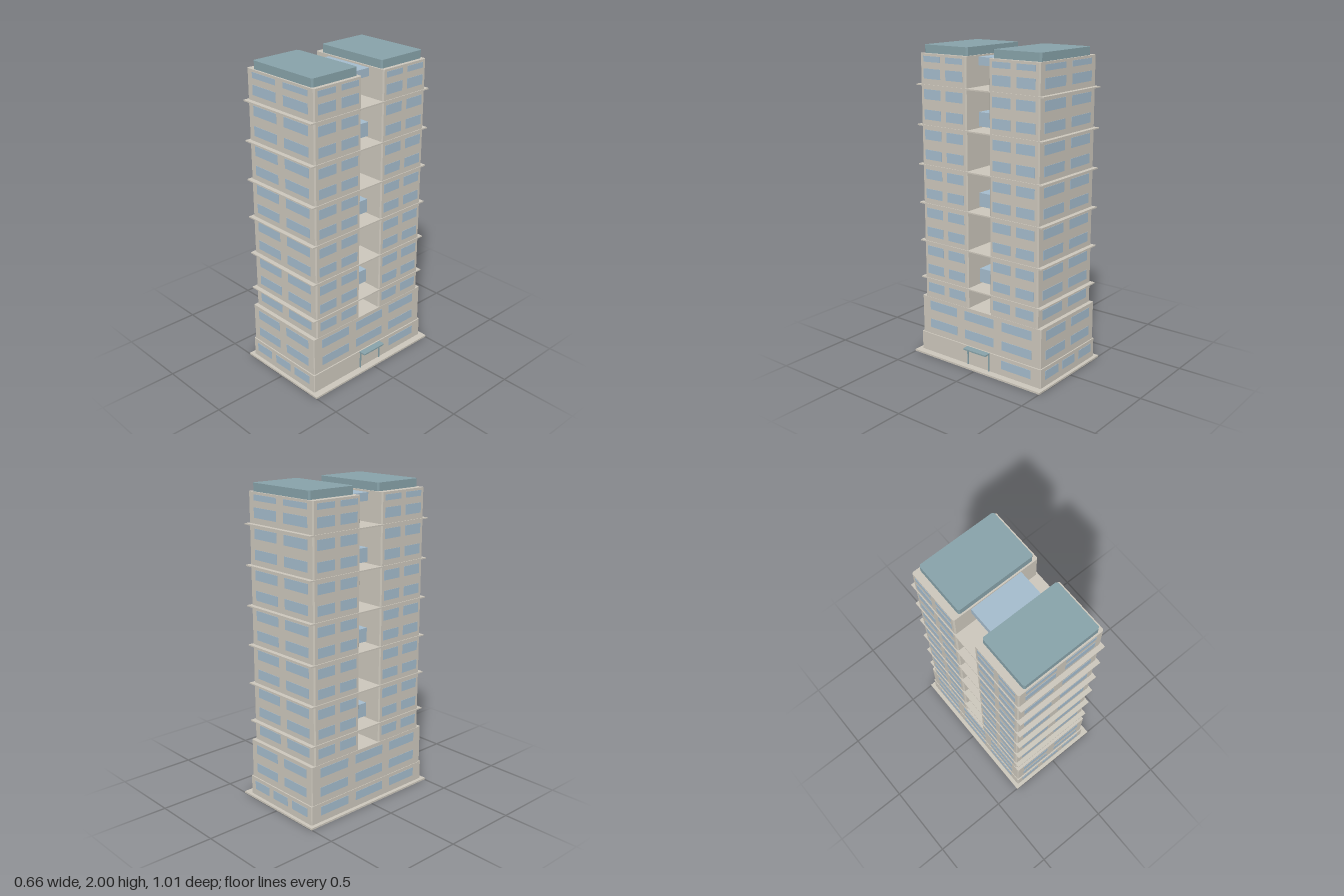
import * as THREE from 'three';

const mat = (name, color) => {
  const m = new THREE.MeshStandardMaterial({ color });
  m.name = name;
  return m;
};

export function createModel() {
  const wall = mat('stone wall', 0xcac5ba);
  const glass = mat('window glass', 0xa3bacb);
  const metal = mat('roof metal', 0x86a1a8);
  const model = new THREE.Group();

  // Box given by its extents on each axis
  const box = (parent, name, m, x0, x1, y0, y1, z0, z1) => {
    const mesh = new THREE.Mesh(new THREE.BoxGeometry(x1 - x0, y1 - y0, z1 - z0), m);
    mesh.position.set((x0 + x1) / 2, (y0 + y1) / 2, (z0 + z1) / 2);
    mesh.name = name;
    parent.add(mesh);
  };

  // Upright block with small chamfered corners
  const block = (parent, name, m, x0, x1, y0, y1, z0, z1, c) => {
    const s = new THREE.Shape([
      [x0 + c, -z1], [x1 - c, -z1], [x1, -z1 + c], [x1, -z0 - c],
      [x1 - c, -z0], [x0 + c, -z0], [x0, -z0 - c], [x0, -z1 + c],
    ].map(([x, y]) => new THREE.Vector2(x, y)));
    const g = new THREE.ExtrudeGeometry(s, { depth: y1 - y0, bevelEnabled: false });
    g.rotateX(-Math.PI / 2).translate(0, y0, 0);
    const mesh = new THREE.Mesh(g, m);
    mesh.name = name;
    parent.add(mesh);
  };

  // Plinth, ground floor and podium
  box(model, 'plinth', wall, -0.33, 0.33, 0, 0.012, -0.503, 0.503);
  block(model, 'groundFloor', wall, -0.305, 0.285, 0.012, 0.135, -0.48, 0.48, 0.005);
  block(model, 'podium', wall, -0.301, 0.277, 0.135, 0.387, -0.472, 0.472, 0.005);

  // Twin towers with roof caps
  for (const s of [-1, 1]) {
    const tower = new THREE.Group();
    tower.name = s > 0 ? 'frontTower' : 'backTower';
    const span = (a, b) => (s > 0 ? [a, b] : [-b, -a]);
    block(tower, 'towerBody', wall, -0.298, 0.275, 0.387, 1.95, ...span(0.086, 0.445), 0.008);
    block(tower, 'roofCap', metal, -0.254, 0.25, 1.95, 2, ...span(0.096, 0.434), 0.01);
    model.add(tower);
  }

  // Thin floor slabs running through both towers and across the gap
  for (let i = 0; i < 6; i++) {
    const y = 0.515 + i * 0.249;
    box(model, 'floorSlab', wall, -0.304, 0.28, y - 0.004, y + 0.004, -0.475, 0.475);
  }

  // Glazed bridges between the towers
  for (const [y0, y1] of [[0.53, 0.62], [1.025, 1.112], [1.525, 1.612], [1.89, 1.94]]) {
    box(model, 'bridge', glass, -0.182, 0.158, y0, y1, -0.088, 0.088);
  }

  // Windows: thin plates set on each face
  const windows = new THREE.Group();
  windows.name = 'windows';
  model.add(windows);
  const t = 0.002;
  const endRow = (spans, y0, y1, z) => {
    for (const s of [-1, 1]) for (const [a, b] of spans) {
      box(windows, 'endWindow', glass, a, b, y0, y1, s * z - t, s * z + t);
    }
  };
  const sideRow = (spans, y0, y1, x) => {
    for (const [a, b] of spans) box(windows, 'sideWindow', glass, x - t, x + t, y0, y1, a, b);
  };
  const pair = [[-0.25, -0.045], [0.02, 0.225]];
  const four = [[-0.417, -0.285], [-0.243, -0.112], [0.112, 0.243], [0.285, 0.417]];
  const three = [[-0.405, -0.18], [-0.116, 0.116], [0.18, 0.405]];

  endRow([[-0.265, -0.125], [-0.08, 0.057], [0.1, 0.24]], 0.055, 0.112, 0.48);
  sideRow(three, 0.055, 0.112, -0.305);
  sideRow([three[0]], 0.055, 0.112, 0.285);
  for (const y of [0.178, 0.303]) {
    endRow(pair, y, y + 0.06, 0.472);
    sideRow(three, y, y + 0.06, -0.301);
    sideRow(three, y, y + 0.06, 0.277);
  }
  for (let i = 0; i < 13; i++) {
    const y0 = i < 12 ? 0.427 + i * 0.1247 : 1.9;
    const y1 = i < 12 ? y0 + 0.061 : 1.935;
    endRow(pair, y0, y1, 0.445);
    sideRow(four, y0, y1, -0.298);
    sideRow(four, y0, y1, 0.275);
  }

  // Entrance canopy with slim side posts
  const entrance = new THREE.Group();
  entrance.name = 'entrance';
  block(entrance, 'canopy', metal, 0.28, 0.33, 0.125, 0.134, -0.09, 0.09, 0.005);
  for (const s of [-1, 1]) {
    box(entrance, 'doorPost', metal, 0.28, 0.291, 0.012, 0.125, s * 0.084 - 0.004, s * 0.084 + 0.004);
  }
  model.add(entrance);
  return model;
}
